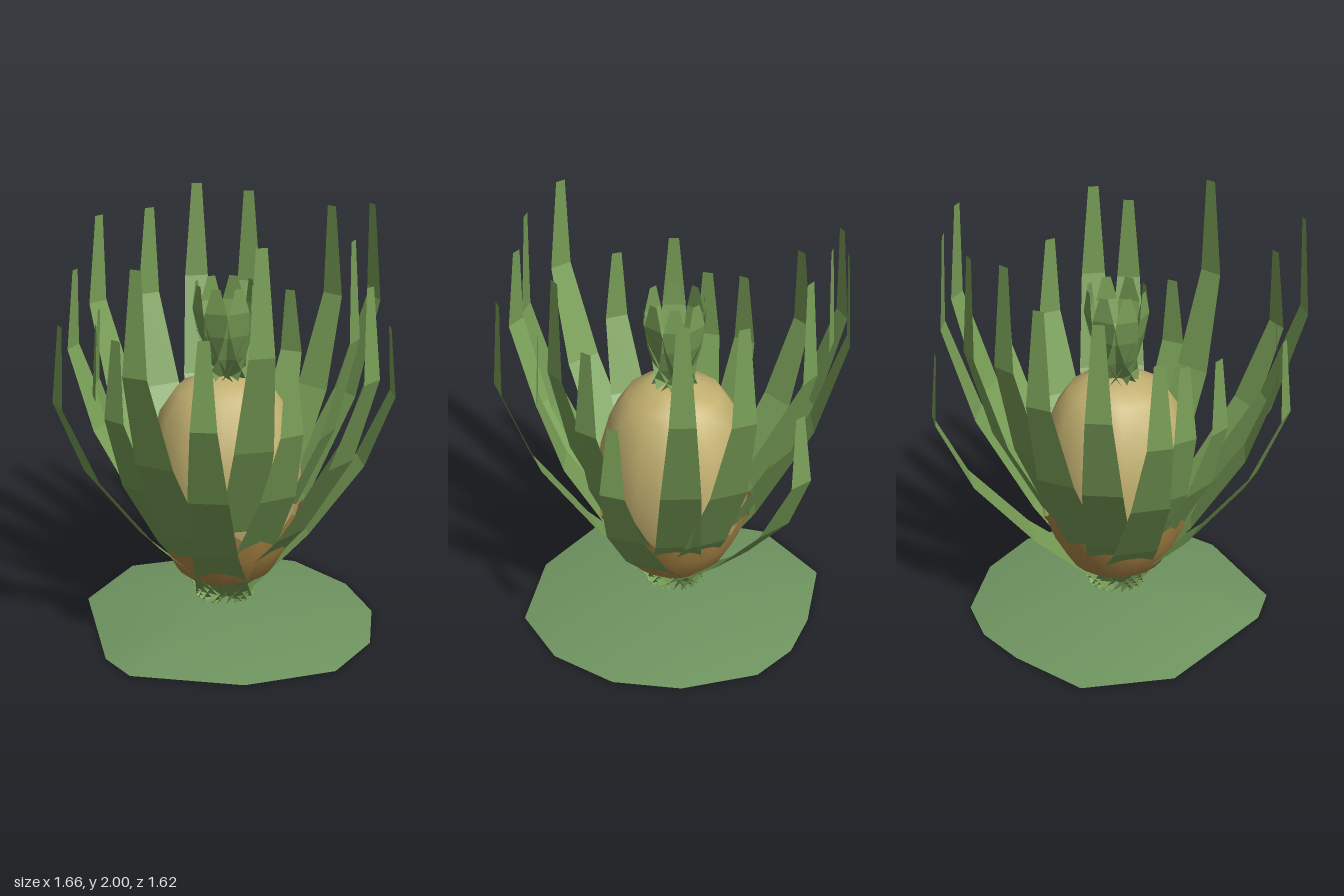
import * as THREE from 'three';

const mat = (color, flat = true) =>
  new THREE.MeshStandardMaterial({ color, flatShading: flat, side: THREE.DoubleSide });
const LEAF = mat(0x7aa058);
const MOUND = mat(0x6f9460, false);
const FRUIT = mat(0xc2b070, false);
const HUSK = mat(0xb08a48, false);

// Shared leaf outline: radius factor from base to tip
const REACH = [0.04, 0.5, 0.84, 1.03, 1.0];

// Flat bent blade in four segments, leaning outwards along +z
function blade(reach, y0, y1, widths) {
  const g = new THREE.PlaneGeometry(1, 1, 1, 4);
  const p = g.attributes.position;
  for (let i = 0; i < p.count; i++) {
    const row = 4 - Math.floor(i / 2);
    p.setXYZ(i, p.getX(i) * widths[row], y0 + (y1 - y0) * row / 4, REACH[row] * reach);
  }
  g.computeVertexNormals();
  return g;
}

function addBlade(parent, name, angle, reach, y0, y1, widths) {
  const m = new THREE.Mesh(blade(reach, y0, y1, widths), LEAF);
  m.name = name;
  m.rotation.y = angle;
  parent.add(m);
}

// Fan of triangles from a central apex to a ring of points [x, z]
function moundGeometry(ring, apexY) {
  const pos = [0, apexY, 0], idx = [];
  ring.forEach(([x, z], i) => {
    pos.push(x, 0, z);
    idx.push(0, (i + 1) % ring.length + 1, i + 1);
  });
  const g = new THREE.BufferGeometry();
  g.setAttribute('position', new THREE.Float32BufferAttribute(pos, 3));
  g.setIndex(idx);
  g.computeVertexNormals();
  return g;
}

const lathe = (pts, n) => new THREE.LatheGeometry(pts.map(([r, y]) => new THREE.Vector2(r, y)), n);

export function createModel() {
  const model = new THREE.Group();

  // Shallow irregular mound
  const ring = [[-0.16, -0.73], [0.22, -0.65], [0.45, -0.55], [0.62, -0.38], [0.71, -0.02], [0.66, 0.3],
    [0.47, 0.58], [0.18, 0.74], [-0.25, 0.66], [-0.67, 0.34], [-0.7, 0.14], [-0.52, -0.48]];
  const mound = new THREE.Mesh(moundGeometry(ring, 0.135), MOUND);
  mound.name = 'mound';
  model.add(mound);

  // Rounded fruit
  const fruit = new THREE.Mesh(lathe([[0, 0.2], [0.14, 0.22], [0.23, 0.285], [0.305, 0.42], [0.35, 0.58],
    [0.362, 0.74], [0.35, 0.9], [0.305, 1.06], [0.225, 1.18], [0.11, 1.235], [0, 1.24]], 12), FRUIT);
  fruit.name = 'fruit';
  model.add(fruit);

  // Husk cupping the lower fruit, with a toothed rim
  const huskGeo = lathe([[0.12, 0.21], [0.235, 0.28], [0.312, 0.42], [0.352, 0.53], [0.368, 0.62]], 24);
  const hp = huskGeo.attributes.position;
  for (let i = 0; i < hp.count; i++) {
    const col = Math.floor(i / 5);
    if (i % 5 === 4 && col % 2) hp.setY(i, 0.55);
  }
  huskGeo.computeVertexNormals();
  const husk = new THREE.Mesh(huskGeo, HUSK);
  husk.name = 'husk';
  model.add(husk);

  // Long outer leaves: tip x, tip z, tip height
  const tips = [
    [-0.28, -0.77, 1.87], [-0.01, -0.77, 1.88], [0.2, -0.67, 2.0], [0.43, -0.56, 1.96], [0.65, -0.52, 1.44],
    [0.73, -0.27, 1.91], [0.8, -0.02, 1.96], [0.73, 0.27, 1.44], [0.53, 0.38, 1.69], [0.36, 0.51, 1.94],
    [0.29, 0.76, 1.8], [-0.01, 0.62, 1.48], [-0.18, 0.66, 2.0], [-0.49, 0.74, 1.67], [-0.69, 0.53, 1.94],
    [-0.67, 0.27, 1.57], [-0.81, -0.01, 1.58], [-0.57, -0.17, 1.51], [-0.48, -0.34, 1.53], [-0.48, -0.61, 1.66],
  ];
  const leaves = new THREE.Group();
  leaves.name = 'outerLeaves';
  for (const [x, z, h] of tips)
    addBlade(leaves, 'outerLeaf', Math.atan2(x, z), Math.hypot(x, z), 0.125, h, [0.27, 0.21, 0.18, 0.115, 0.05]);
  model.add(leaves);

  // Small crown of eight leaves on top of the fruit
  const crown = new THREE.Group();
  crown.name = 'crown';
  for (let i = 0; i < 8; i++)
    addBlade(crown, 'crownLeaf', i * Math.PI / 4, 0.135, 1.22, 1.68, [0.22, 0.15, 0.125, 0.105, 0.04]);
  model.add(crown);

  return model;
}
